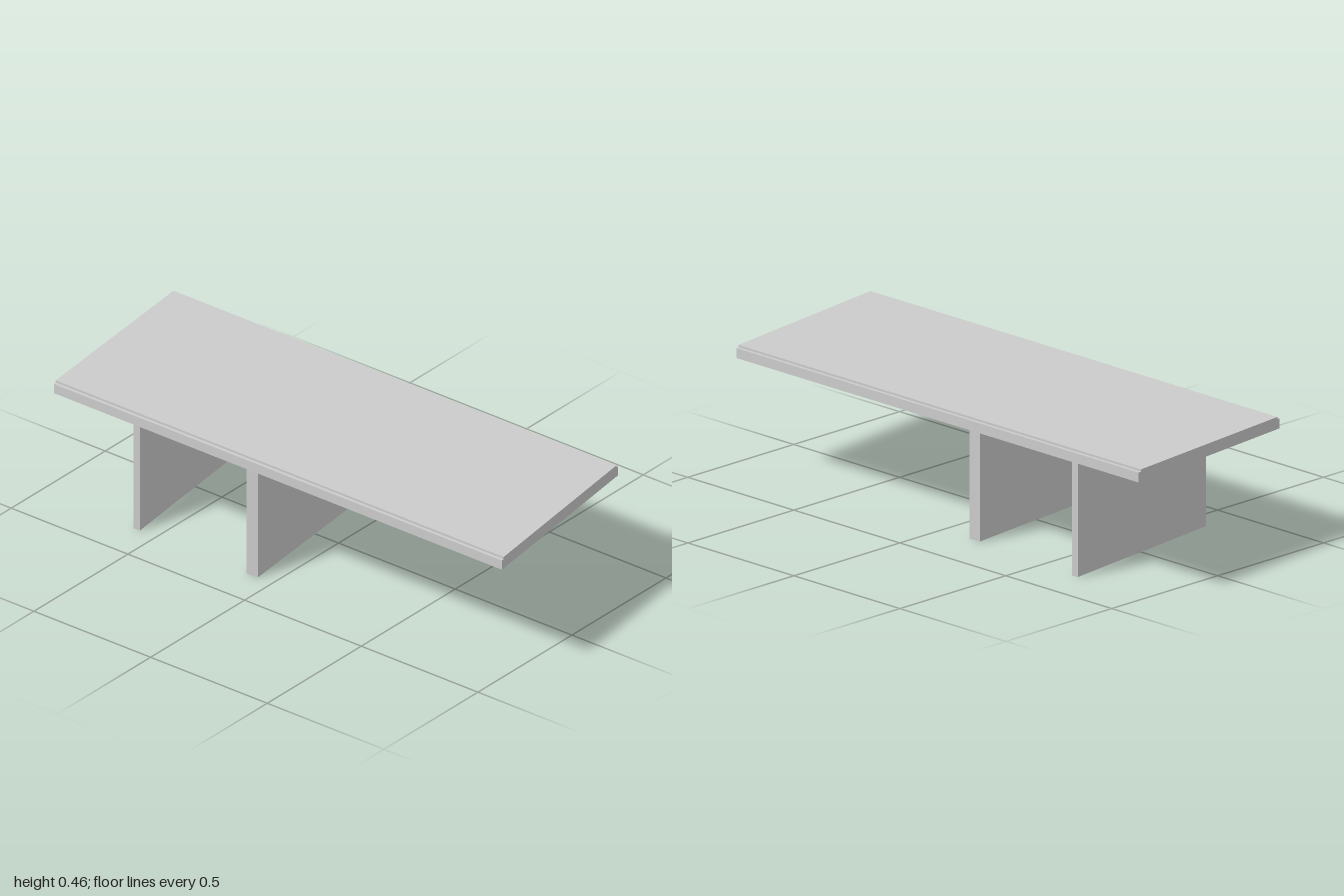
import * as THREE from 'three';

const material = new THREE.MeshStandardMaterial({ color: 0xcccccc, flatShading: true });

// Upright prism over a plan outline given as [x, z] corners
function prism(name, plan, y0, y1) {
  const shape = new THREE.Shape(plan.map(([x, z]) => new THREE.Vector2(x, -z)));
  const geometry = new THREE.ExtrudeGeometry(shape, { depth: y1 - y0, bevelEnabled: false });
  geometry.rotateX(-Math.PI / 2).translate(0, y0, 0);
  const mesh = new THREE.Mesh(geometry, material);
  mesh.name = name;
  return mesh;
}

// Plan of the skewed top between two depths; both ends lean along z
function topPlan(back, front) {
  const t = (z) => (z + 0.373) / 0.746;
  const left = (z) => -1 + 0.08 * t(z);
  const right = (z) => 0.898 + 0.102 * t(z);
  return [[left(back), back], [right(back), back], [right(front), front], [left(front), front]];
}

export function createModel() {
  const group = new THREE.Group();
  group.name = 'table';

  // Slab with a slightly narrower raised layer, leaving a rebate along front and back
  group.add(prism('topSlab', topPlan(-0.373, 0.373), 0.413, 0.448));
  group.add(prism('topLayer', topPlan(-0.361, 0.361), 0.448, 0.456));

  // Two turned panel legs of different thickness
  group.add(prism('outerLeg',
    [[-0.68, -0.34], [-0.655, -0.343], [-0.57, 0.348], [-0.595, 0.351]], 0, 0.413));
  group.add(prism('innerLeg',
    [[-0.178, -0.3], [-0.133, -0.305], [-0.063, 0.35], [-0.108, 0.355]], 0, 0.413));

  return group;
}
